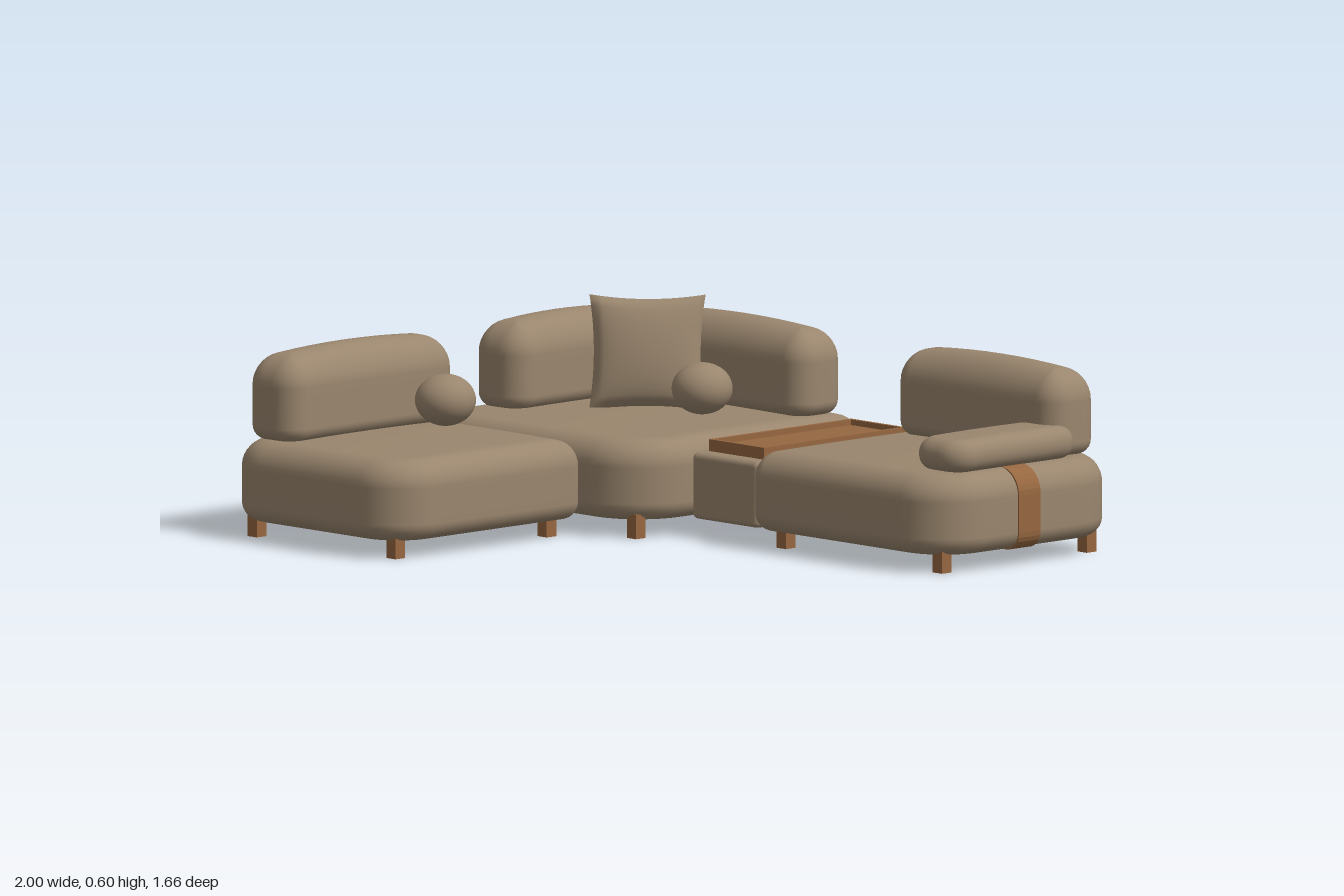
import * as THREE from 'three';

const fabric = new THREE.MeshStandardMaterial({ color: 0x9a866e });
fabric.name = 'taupe fabric';
const wood = new THREE.MeshStandardMaterial({ color: 0x966740 });
wood.name = 'brown wood';

// Quarter-round profile of a cushion side, bottom to top, as [inset, y]
function sideProfile(y0, y1, bottom, top) {
  const pts = [];
  for (let i = 0; i <= 6; i++) {
    const a = (i / 6) * Math.PI / 2;
    pts.push([bottom * (1 - Math.sin(a)), y0 + bottom * (1 - Math.cos(a))]);
  }
  for (let i = 0; i <= 8; i++) {
    const a = (i / 8) * Math.PI / 2;
    pts.push([top * (1 - Math.cos(a)), y1 - top * (1 - Math.sin(a))]);
  }
  return pts;
}

// Rounded rectangle in plan; radii order: +x+z, -x+z, -x-z, +x-z
function outline(hx, hz, radii, inset) {
  const signs = [[1, 1], [-1, 1], [-1, -1], [1, -1]];
  const arcs = signs.map(([sx, sz], c) => {
    const r = Math.max(radii[c] - inset, 0.004);
    const arc = [];
    for (let j = 0; j <= 8; j++) {
      const a = (c + j / 8) * Math.PI / 2;
      arc.push([sx * (hx - inset - r) + r * Math.cos(a), sz * (hz - inset - r) + r * Math.sin(a)]);
    }
    return arc;
  });
  const pts = [];
  arcs.forEach((arc, c) => {
    pts.push(...arc);
    const p = arc[8], q = arcs[(c + 1) % 4][0];
    for (let k = 1; k < 8; k++) {
      pts.push([p[0] + (q[0] - p[0]) * k / 8, p[1] + (q[1] - p[1]) * k / 8]);
    }
  });
  return pts;
}

// Soft block with rounded edges and a gently crowned top
function cushion(name, [x0, x1], [y0, y1], [z0, z1], radii, bottom, top, crown) {
  const hx = (x1 - x0) / 2, hz = (z1 - z0) / 2;
  const profile = sideProfile(y0, y1, bottom, top);
  const rings = [
    [bottom, y0, 0], [bottom, y0, 0.5], [bottom, y0, 0.95],
    ...profile.map(([d, y]) => [d, y, 1]),
    ...[0.94, 0.8, 0.6, 0.4, 0.2, 0].map(s => [top, y1, s]),
  ];
  const pos = [], index = [];
  let n = 0;
  rings.forEach(([inset, y, s]) => {
    const loop = outline(hx, hz, radii, inset);
    n = loop.length;
    for (const [px, pz] of loop) {
      const x = px * s, z = pz * s;
      const lift = crown * (1 - (x / hx) ** 2) * (1 - (z / hz) ** 2) * (y - y0) / (y1 - y0);
      pos.push(x, y + lift, z);
    }
  });
  for (let i = 0; i < rings.length - 1; i++) {
    for (let j = 0; j < n; j++) {
      const a = i * n + j, b = i * n + (j + 1) % n;
      index.push(a, a + n, b, b, a + n, b + n);
    }
  }
  const g = new THREE.BufferGeometry();
  g.setAttribute('position', new THREE.Float32BufferAttribute(pos, 3));
  g.setIndex(index);
  g.computeVertexNormals();
  const mesh = new THREE.Mesh(g, fabric);
  mesh.name = name;
  mesh.position.set((x0 + x1) / 2, 0, (z0 + z1) / 2);
  return mesh;
}

function box(name, w, h, d, x, y, z) {
  const mesh = new THREE.Mesh(new THREE.BoxGeometry(w, h, d), wood);
  mesh.name = name;
  mesh.position.set(x, y, z);
  return mesh;
}

// Square throw pillow with pinched edges and a full middle
function pillow() {
  const g = new THREE.BoxGeometry(2, 2, 2, 20, 20, 1);
  const p = g.attributes.position;
  for (let i = 0; i < p.count; i++) {
    const u = p.getX(i), v = p.getY(i);
    const fu = Math.max(0, 1 - u * u), fv = Math.max(0, 1 - v * v);
    p.setXYZ(i, u * 0.165 * (1 - 0.08 * fv), v * 0.165 * (1 - 0.08 * fu),
      p.getZ(i) * (0.005 + 0.052 * Math.pow(fu * fv, 0.42)));
  }
  g.computeVertexNormals();
  const mesh = new THREE.Mesh(g, fabric);
  mesh.name = 'throwPillow';
  mesh.position.set(-0.57, 0.44, -0.445);
  mesh.rotation.set(-0.22, Math.PI / 4, 0, 'YXZ');
  return mesh;
}

// Band wrapped around the outer side of the right seat
function strap(seatY, bottom, top) {
  const side = sideProfile(seatY[0], seatY[1], bottom, top);
  const path = [[0.17, seatY[0]], ...side, [0.14, seatY[1]]];
  const t = 0.004, mid = (seatY[0] + seatY[1]) / 2;
  const outer = path.map(([d, y]) => new THREE.Vector2(
    1 - d + t * (d < bottom ? 1 - d / 0.1 : 0), y + t * THREE.MathUtils.clamp((y - mid) / 0.1, -1, 1)));
  const inner = path.map(([d, y]) => new THREE.Vector2(1 - d - t, y - t * Math.sign(y - mid))).reverse();
  const g = new THREE.ExtrudeGeometry(new THREE.Shape([...outer, ...inner]), { depth: 0.085, bevelEnabled: false });
  const mesh = new THREE.Mesh(g, wood);
  mesh.name = 'sideStrap';
  mesh.position.z = -0.487;
  return mesh;
}

export function createModel() {
  const model = new THREE.Group();
  model.name = 'modularSofa';
  const seatY = [0.05, 0.279], backY = [0.278, 0.52];
  const seatBottom = 0.05, seatTop = 0.075;

  // Seat modules
  const seats = [
    ['cornerSeat', [-1, -0.07], [-0.83, 0.075], [0.2, 0.06, 0.22, 0.05]],
    ['chaiseSeat', [-1, -0.27], [0.085, 0.83], [0.15, 0.16, 0.05, 0.05]],
    ['rightSeat', [0.2, 1], [-0.83, -0.1], [0.17, 0.06, 0.05, 0.17]],
  ];
  for (const [name, x, z, radii] of seats) {
    model.add(cushion(name, x, seatY, z, radii, seatBottom, seatTop, 0.009));
  }

  // Backrests
  const backs = [
    ['cornerBackrest', [-0.81, -0.115], [-0.8, -0.61]],
    ['cornerSideBackrest', [-0.965, -0.77], [-0.67, -0.12]],
    ['chaiseBackrest', [-0.965, -0.77], [0.1, 0.77]],
    ['rightBackrest', [0.258, 0.925], [-0.8, -0.61]],
  ];
  for (const [name, x, z] of backs) {
    model.add(cushion(name, x, backY, z, Array(4).fill(0.07), 0.04, 0.085, 0.018));
  }
  model.add(cushion('armrest', [0.762, 0.957], [0.278, 0.372], [-0.7, -0.2], Array(4).fill(0.07), 0.042, 0.045, 0.004));

  // Ball cushions
  for (const [x, z] of [[-0.297, -0.4], [-0.644, 0.278]]) {
    const ball = new THREE.Mesh(new THREE.SphereGeometry(1, 32, 20), fabric);
    ball.name = 'ballCushion';
    ball.scale.set(0.087, 0.074, 0.087);
    ball.position.set(x, 0.372, z);
    model.add(ball);
  }
  model.add(pillow(), strap(seatY, seatBottom, seatTop));

  // Table block with a rimmed tray
  model.add(cushion('tableBase', [-0.073, 0.202], [0.05, 0.241], [-0.8, -0.14], Array(4).fill(0.02), 0.015, 0.018, 0));
  const tray = new THREE.Group();
  tray.name = 'tray';
  tray.position.set(0.063, 0, -0.47);
  tray.add(box('trayFloor', 0.21, 0.022, 0.545, 0, 0.248, 0));
  for (const s of [-1, 1]) {
    tray.add(box('traySideRim', 0.012, 0.037, 0.56, s * 0.107, 0.2565, 0));
    tray.add(box('trayEndRim', 0.202, 0.037, 0.012, 0, 0.2565, s * 0.274));
  }
  model.add(tray);

  // Legs, four under each seat
  const legs = [[[-0.92, -0.15], [-0.75, 0]], [[-0.92, -0.35], [0.16, 0.755]], [[0.278, 0.92], [-0.75, -0.18]]];
  for (const [xs, zs] of legs) {
    for (const x of xs) for (const z of zs) model.add(box('leg', 0.038, 0.07, 0.038, x, 0.035, z));
  }
  return model;
}
